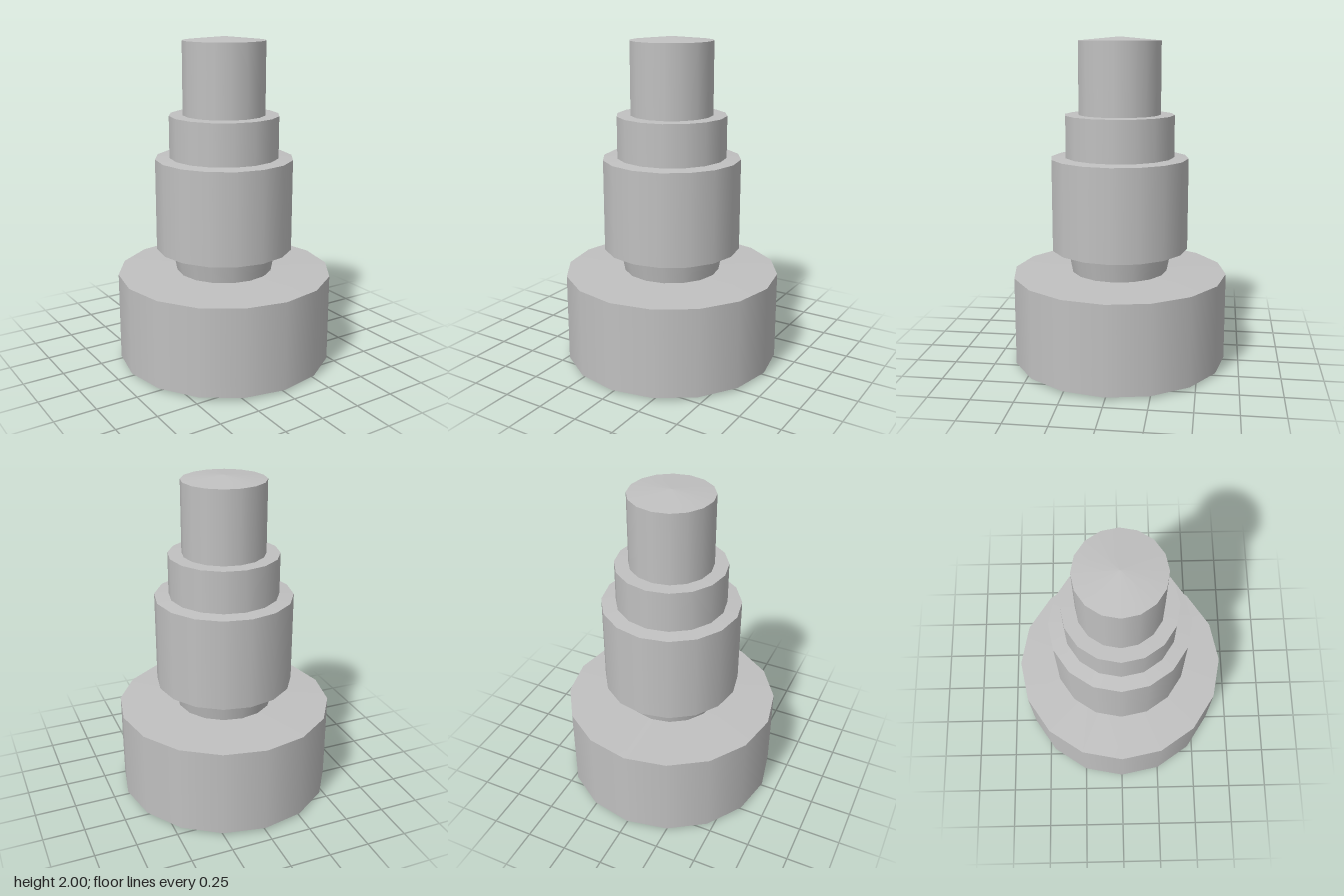
import * as THREE from 'three';

const SIDES = 16;

export function createModel() {
  const group = new THREE.Group();
  group.name = 'steppedShaft';
  const grey = new THREE.MeshStandardMaterial({ color: 0xc0c0c0 });
  grey.name = 'grey';

  // Each profile edge is its own lathe, so rims stay sharp and sides smooth.
  function turn(name, profile) {
    const part = new THREE.Group();
    part.name = name;
    for (let i = 0; i < profile.length - 1; i++) {
      const points = [profile[i], profile[i + 1]].map(([r, y]) => new THREE.Vector2(r, y));
      const mesh = new THREE.Mesh(new THREE.LatheGeometry(points, SIDES), grey);
      mesh.name = `${name}Face${i + 1}`;
      part.add(mesh);
    }
    group.add(part);
  }

  // Wide base with slightly coned underside and top
  turn('base', [[0, 0.005], [0.66, 0.02], [0.66, 0.565], [0.295, 0.577]]);
  // Neck flaring up into the collar
  turn('neck', [[0.295, 0.577], [0.318, 0.695]]);
  // Main collar with sloped underside
  turn('collar', [[0.318, 0.695], [0.42, 0.72], [0.42, 1.28], [0.333, 1.287]]);
  // Upper step
  turn('step', [[0.333, 1.287], [0.333, 1.54], [0.25, 1.542]]);
  // Top pin with a low coned cap
  turn('pin', [[0.25, 1.542], [0.25, 1.977], [0, 2]]);

  return group;
}
